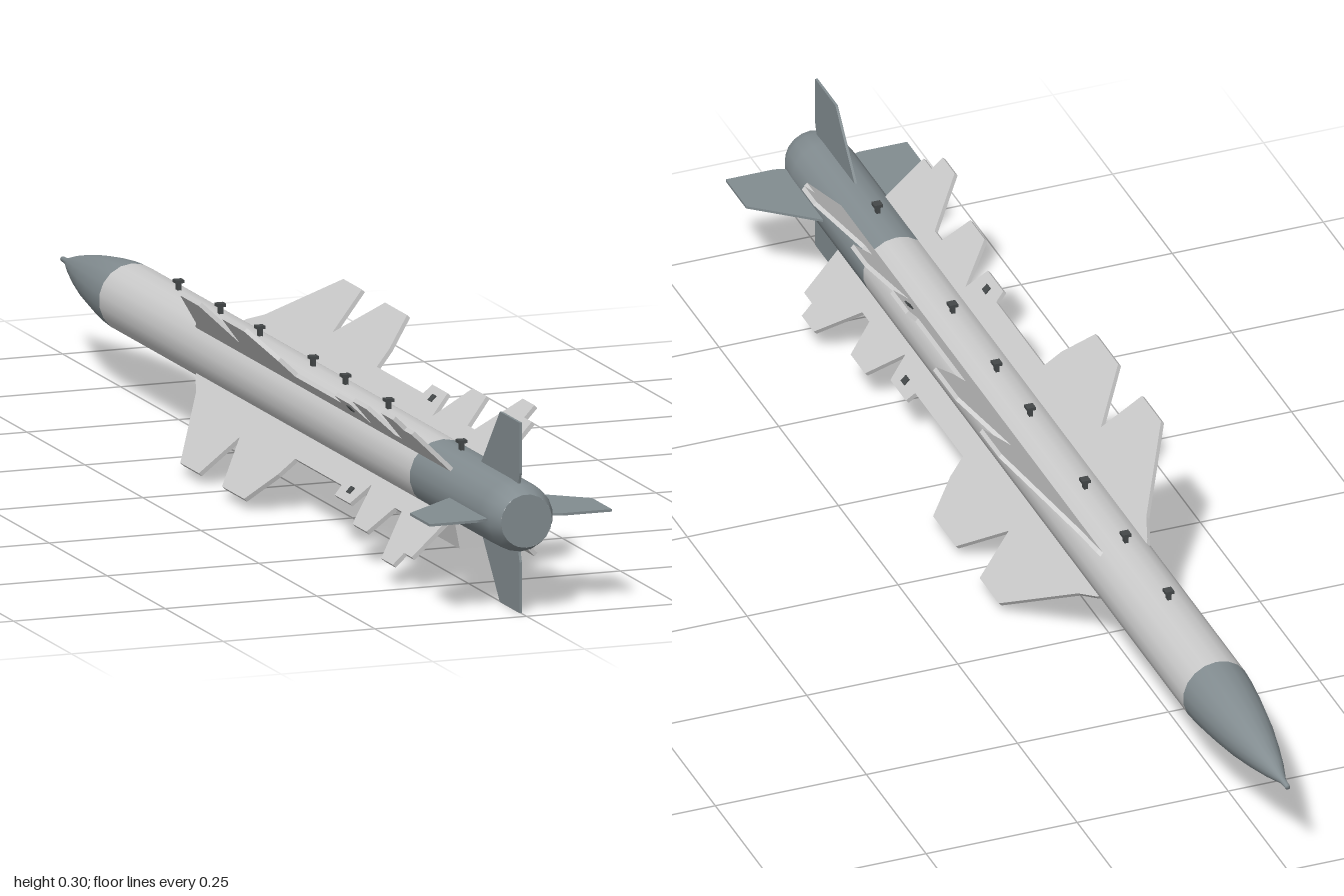
import * as THREE from 'three';

const light = new THREE.MeshStandardMaterial({ color: 0xcccccc });
const steel = new THREE.MeshStandardMaterial({ color: 0x828c90 });
const dark = new THREE.MeshStandardMaterial({ color: 0x444849 });

const AXIS_Y = 0.15;
const R = 0.055;

function addMesh(parent, name, geometry, material) {
  const mesh = new THREE.Mesh(geometry, material);
  mesh.name = name;
  parent.add(mesh);
  return mesh;
}

// Turned section about the z axis from [radius, z] pairs, z rising
function turned(points) {
  const profile = points.map(([r, z]) => new THREE.Vector2(r, z));
  return new THREE.LatheGeometry(profile, 18).rotateX(Math.PI / 2);
}

// Flat plate from a [z, radius] outline, lying in the +x direction
function plate(outline, thickness) {
  const shape = new THREE.Shape(outline.map(([z, r]) => new THREE.Vector2(r, z)));
  return new THREE.ExtrudeGeometry(shape, { depth: thickness, bevelEnabled: false })
    .translate(0, 0, -thickness / 2)
    .rotateX(Math.PI / 2);
}

function trapezoid(Type, topHalf, bottomHalf, top, bottom) {
  return new Type([
    new THREE.Vector2(-bottomHalf, bottom), new THREE.Vector2(bottomHalf, bottom),
    new THREE.Vector2(topHalf, top), new THREE.Vector2(-topHalf, top),
  ]);
}

export function createModel() {
  const model = new THREE.Group();
  model.name = 'missile';
  const core = new THREE.Group();
  core.name = 'core';
  core.position.y = AXIS_Y;
  model.add(core);

  // Body sections, nose towards -z
  addMesh(core, 'noseCone', turned([
    [0, -1], [0.004, -1], [0.005, -0.98], [0.017, -0.94], [0.029, -0.89],
    [0.04, -0.835], [0.048, -0.78], [0.053, -0.735], [R, -0.7],
  ]), steel);
  addMesh(core, 'bodyTube', turned([[R, -0.7], [R, 0.64]]), light);
  addMesh(core, 'tailTube', turned([[R, 0.64], [R, 0.94], [0.053, 0.975], [0.042, 1]]), steel);
  addMesh(core, 'tailCap', new THREE.CircleGeometry(0.042, 18).translate(0, 0, 1), steel);

  // Four diagonal wings: double-lobed main wing, strake and two aft fins in one outline
  const wingOutline = [
    [-0.33, 0.045], [-0.31, 0.06], [-0.27, 0.08], [-0.135, 0.19], [-0.055, 0.19],
    [-0.03, 0.108], [0.045, 0.19], [0.14, 0.19], [0.175, 0.13], [0.185, 0.095],
    [0.385, 0.095], [0.39, 0.114], [0.455, 0.114], [0.47, 0.07], [0.515, 0.14],
    [0.575, 0.14], [0.595, 0.085], [0.625, 0.085], [0.685, 0.165], [0.735, 0.165],
    [0.737, 0.14], [0.77, 0.14], [0.78, 0.045],
  ];
  const wingGeometry = plate(wingOutline, 0.007);
  const boltGeometry = new THREE.BoxGeometry(0.012, 0.011, 0.014).translate(0.095, 0, 0.425);
  for (let i = 0; i < 4; i++) {
    const wing = new THREE.Group();
    wing.name = 'wing' + (i + 1);
    wing.rotation.z = Math.PI / 4 + i * Math.PI / 2;
    addMesh(wing, 'wingPlate', wingGeometry, light);
    addMesh(wing, 'wingBolt', boltGeometry, dark);
    core.add(wing);
  }

  // Four upright and level tail fins
  const finGeometry = plate(
    [[0.8, 0.04], [0.81, R], [0.89, 0.15], [0.975, 0.15], [0.975, 0.07], [0.965, 0.04]], 0.004);
  for (let i = 0; i < 4; i++) {
    addMesh(core, 'tailFin' + (i + 1), finGeometry, steel).rotation.z = i * Math.PI / 2;
  }

  // Belly duct with an open, recessed mouth at its nose end
  const duct = new THREE.Group();
  duct.name = 'bellyDuct';
  core.add(duct);
  const outer = () => trapezoid(THREE.Shape, 0.036, 0.026, -0.035, -0.087);
  const mouth = outer();
  mouth.holes.push(trapezoid(THREE.Path, 0.026, 0.021, -0.057, -0.081));
  addMesh(duct, 'ductMouth', new THREE.ExtrudeGeometry(mouth, { depth: 0.04, bevelEnabled: false })
    .translate(0, 0, 0.16), light);
  addMesh(duct, 'ductBody', new THREE.ExtrudeGeometry(outer(), { depth: 0.58, bevelEnabled: false })
    .translate(0, 0, 0.2), light);
  addMesh(duct, 'ductInside', new THREE.BoxGeometry(0.046, 0.026, 0.004)
    .translate(0, -0.069, 0.198), dark);

  // Row of T-shaped mounting lugs along the spine
  const stem = new THREE.BoxGeometry(0.006, 0.014, 0.01).translate(0, R + 0.005, 0);
  const head = new THREE.BoxGeometry(0.014, 0.005, 0.014).translate(0, R + 0.0135, 0);
  for (const z of [-0.5, -0.32, -0.15, 0.08, 0.22, 0.405, 0.72]) {
    const lug = new THREE.Group();
    lug.name = 'mountingLug';
    lug.position.z = z;
    addMesh(lug, 'lugStem', stem, dark);
    addMesh(lug, 'lugHead', head, dark);
    core.add(lug);
  }

  return model;
}
